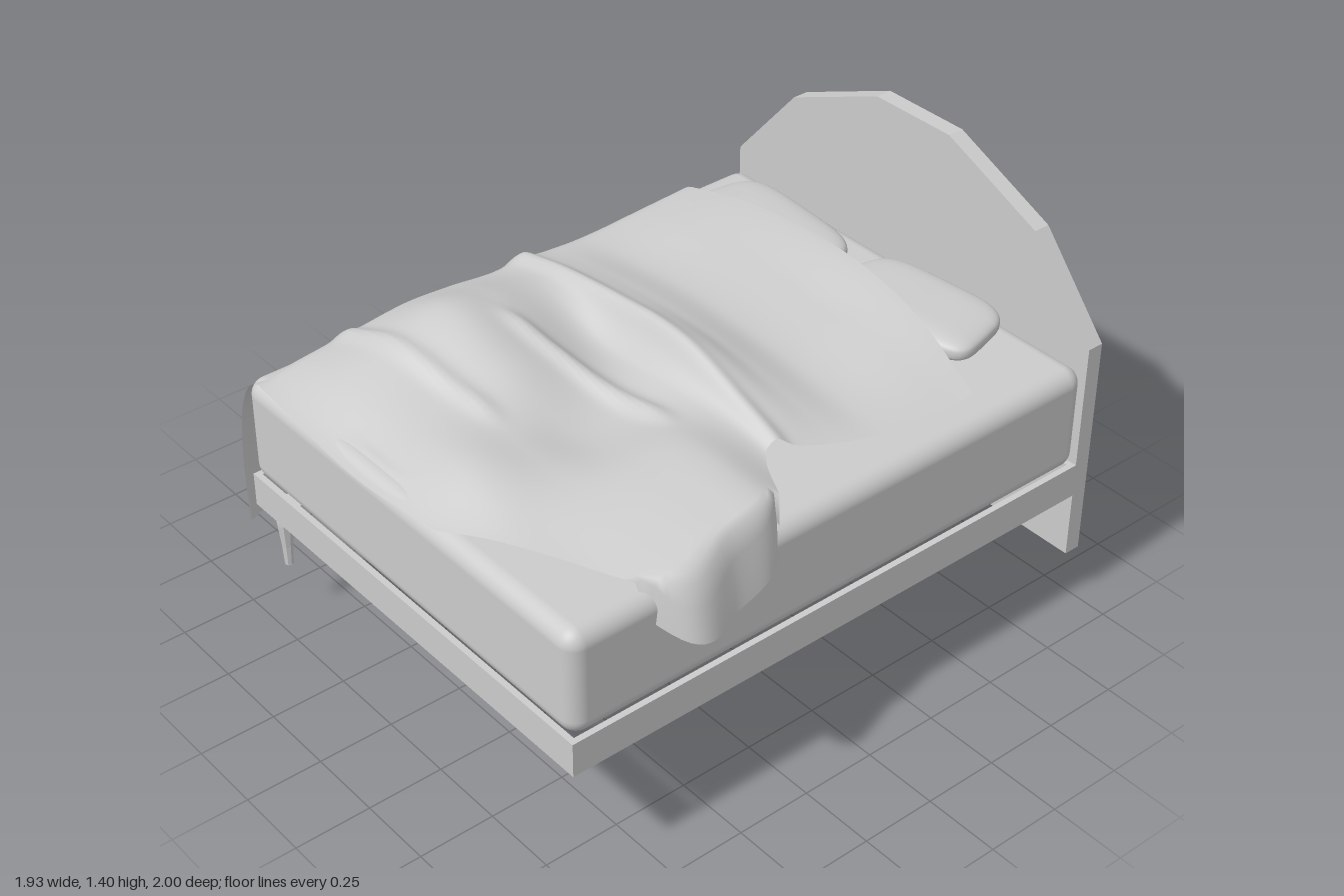
import * as THREE from 'three';
import { RoundedBoxGeometry } from 'three/addons/geometries/RoundedBoxGeometry.js';

const grey = new THREE.MeshStandardMaterial({ color: 0xcccccc, side: THREE.DoubleSide });
const flat = new THREE.MeshStandardMaterial({ color: 0xcccccc, side: THREE.DoubleSide, flatShading: true });

function add(parent, name, geometry, x = 0, y = 0, z = 0, material = grey) {
  const mesh = new THREE.Mesh(geometry, material);
  mesh.name = name;
  mesh.position.set(x, y, z);
  parent.add(mesh);
  return mesh;
}

// Smooth interpolation through a list of numbers, t in 0..1
function spline(list, t) {
  const n = list.length - 1;
  const s = Math.min(Math.max(t, 0), 1) * n;
  const i = Math.min(Math.floor(s), n - 1), f = s - i;
  const b = list[i], c = list[i + 1];
  const a = list[Math.max(i - 1, 0)], d = list[Math.min(i + 2, n)];
  return b + 0.5 * f * (c - a + f * (2 * a - 5 * b + 4 * c - d + f * (3 * (b - c) + d - a)));
}

// Blanket relief: rows run from head to foot, columns from x = -0.7 to 0.8
const reliefZ = [-0.7, -0.5, -0.25, -0.1, 0, 0.12, 0.28, 0.45, 0.62, 0.8, 1];
const relief = [
  [0.93, 0.98, 1.0, 1.0, 0.98, 0.91],
  [0.92, 0.96, 0.97, 0.96, 0.95, 0.9],
  [0.91, 0.93, 0.95, 0.94, 0.92, 0.9],
  [0.91, 0.96, 0.99, 0.99, 0.95, 0.9],
  [0.92, 0.98, 1.01, 1.03, 0.97, 0.9],
  [0.91, 0.98, 0.93, 0.95, 0.95, 0.92],
  [0.92, 1.02, 0.97, 0.92, 0.98, 0.98],
  [0.92, 1.05, 1.0, 0.92, 0.97, 0.97],
  [0.91, 1.0, 0.96, 0.95, 0.95, 0.94],
  [0.9, 0.95, 0.93, 0.96, 0.92, 0.9],
  [0.88, 0.88, 0.86, 0.87, 0.89, 0.89],
];

function reliefHeight(x, z) {
  let i = 0;
  while (i < reliefZ.length - 2 && z > reliefZ[i + 1]) i++;
  const row = (i + (z - reliefZ[i]) / (reliefZ[i + 1] - reliefZ[i])) / (reliefZ.length - 1);
  const column = (x + 0.7) / 1.5;
  let y = spline(relief.map((r) => spline(r, column)), row);
  // Raised folds across the middle of the bed
  const fold = (line, width, from, to) =>
    Math.exp(-(((z - line) / width) ** 2)) *
    THREE.MathUtils.smoothstep(x, from, from + 0.15) * (1 - THREE.MathUtils.smoothstep(x, to - 0.15, to));
  y += 0.025 * fold(0.01 + 0.08 * Math.max(x, 0), 0.03, -0.8, 0.75);
  y += 0.025 * fold(0.27 - 0.15 * x, 0.03, -0.35, 0.4);
  y += 0.02 * fold(0.6 - 0.1 * x, 0.03, -0.75, 0.1);
  return y;
}

// Stations along the blanket: right edge, left shoulder, hanging hem
const edge = {
  rightX: [0.77, 0.76, 0.73, 0.67, 0.62, 0.67, 0.88, 0.92, 0.95, 0.6, 0.27],
  rightY: [0.9, 0.9, 0.9, 0.91, 0.91, 0.92, 0.8, 0.74, 0.75, 0.9, 0.89],
  rightZ: [-0.57, -0.4, -0.2, -0.02, 0.08, 0.14, 0.28, 0.45, 0.65, 0.82, 0.98],
  leftZ: [-0.66, -0.5, -0.3, -0.12, 0.02, 0.12, 0.28, 0.45, 0.62, 0.8, 0.98],
  hemX: [-0.85, -0.9, -0.92, -0.96, -0.87, -0.77, -0.78, -0.77, -0.83, -0.76, -0.76],
  hemY: [0, 0.09, 0.18, 0.25, 0.25, 0.26, 0.28, 0.31, 0.33, 0.32, 0.31],
  hemZ: [-0.45, -0.34, -0.18, -0.03, 0.1, 0.2, 0.38, 0.52, 0.63, 0.8, 0.98],
};

function blanketPoint(u, v) {
  const e = {};
  for (const key in edge) e[key] = spline(edge[key], v);
  const split = 0.68, shoulderX = -0.6;
  if (u <= split) {
    // Part lying on the mattress
    const t = u / split;
    const x = THREE.MathUtils.lerp(e.rightX, shoulderX, t);
    const bow = Math.sin(Math.PI * t) * (0.02 * v ** 6 - 0.09 * (1 - v) ** 6);
    const z = THREE.MathUtils.lerp(e.rightZ, e.leftZ, t) + bow;
    let y = Math.max(reliefHeight(x, z), z > 0.93 ? 0.86 : 0.89);
    if (x > 0.83 && e.rightX > 0.84) {
      const k = (x - 0.83) / (e.rightX - 0.83);
      y = THREE.MathUtils.lerp(y, e.rightY, k ** 3);
    }
    return [x, y, z];
  }
  // Part falling over the side, with folds growing towards the hem
  const t = (u - split) / (1 - split);
  const a = (1 - t) ** 2, b = 2 * t * (1 - t), c = t * t;
  const ripple = 0.016 * c * Math.sin(v * 52);
  return [
    a * shoulderX + b * -0.76 + c * e.hemX + ripple,
    a * Math.max(reliefHeight(shoulderX, e.leftZ), 0.89) + b * 0.87 + c * e.hemY,
    a * e.leftZ + b * (e.leftZ + 0.01) + c * e.hemZ,
  ];
}

function blanketGeometry(across = 80, along = 110) {
  const positions = [], index = [];
  for (let j = 0; j <= along; j++) {
    for (let i = 0; i <= across; i++) {
      positions.push(...blanketPoint(i / across, j / along));
      if (i === across || j === along) continue;
      const p = j * (across + 1) + i, q = p + across + 1;
      index.push(p, p + 1, q, p + 1, q + 1, q);
    }
  }
  const g = new THREE.BufferGeometry();
  g.setAttribute('position', new THREE.Float32BufferAttribute(positions, 3));
  g.setIndex(index);
  g.computeVertexNormals();
  return g;
}

// Soft cushion: a sphere pushed out towards a box, with a taper towards the front
function pillowGeometry(width, height, depth, taper) {
  const g = new THREE.SphereGeometry(1, 40, 24);
  const p = g.attributes.position;
  const swell = (value, power) => Math.sign(value) * Math.abs(value) ** power;
  for (let i = 0; i < p.count; i++) {
    const z = swell(p.getZ(i), 0.45);
    p.setXYZ(i, swell(p.getX(i), 0.45) * (1 + taper * z) * width / 2, swell(p.getY(i), 0.7) * height / 2, z * depth / 2);
  }
  g.computeVertexNormals();
  return g;
}

// Rounded mattress shell, open underneath
function mattressGeometry(width, height, depth) {
  const g = new RoundedBoxGeometry(width, height, depth, 5, 0.055);
  const p = g.attributes.position, n = g.attributes.normal;
  const positions = [], normals = [];
  for (let i = 0; i < p.count; i += 3) {
    const low = [0, 1, 2].every((k) => p.getY(i + k) < -height / 2 + 0.001);
    if (low) continue;
    for (let k = i; k < i + 3; k++) {
      positions.push(p.getX(k), p.getY(k), p.getZ(k));
      normals.push(n.getX(k), n.getY(k), n.getZ(k));
    }
  }
  const shell = new THREE.BufferGeometry();
  shell.setAttribute('position', new THREE.Float32BufferAttribute(positions, 3));
  shell.setAttribute('normal', new THREE.Float32BufferAttribute(normals, 3));
  return shell;
}

export function createModel() {
  const bed = new THREE.Group();
  bed.name = 'bed';

  // Headboard: front panel with a rim, hollow at the back
  const outline = [[-0.68, 0.19], [0.87, 0.19], [0.87, 0.95], [0.62, 1.24], [0.25, 1.4], [-0.06, 1.4], [-0.43, 1.24], [-0.68, 0.95]];
  const headboard = new THREE.Group();
  headboard.name = 'headboard';
  bed.add(headboard);
  const panel = new THREE.Shape(outline.map(([x, y]) => new THREE.Vector2(x, y)));
  add(headboard, 'headboardPanel', new THREE.ShapeGeometry(panel), 0, 0, -0.945);
  outline.forEach(([x, y], i) => {
    const [x2, y2] = outline[(i + 1) % outline.length];
    const rim = add(headboard, 'headboardRim', new THREE.PlaneGeometry(Math.hypot(x2 - x, y2 - y), 0.055), (x + x2) / 2, (y + y2) / 2, -0.9725);
    rim.rotation.set(Math.PI / 2, Math.atan2(y2 - y, x2 - x), 0, 'ZXY');
    rim.rotation.set(Math.PI / 2, 0, Math.atan2(y2 - y, x2 - x), 'ZXY');
  });

  // Bed frame: an open ring of boards
  for (const x of [-0.67, 0.86]) add(bed, 'sideRail', new THREE.BoxGeometry(0.02, 0.115, 1.935), x, 0.4725, 0.0225);
  for (const z of [-0.935, 0.98]) add(bed, 'endRail', new THREE.BoxGeometry(1.51, 0.115, 0.02), 0.095, 0.4725, z);

  // Single turned leg under the front corner
  add(bed, 'legBlock', new THREE.BoxGeometry(0.08, 0.025, 0.08), -0.625, 0.405, 0.93);
  const legProfile = [[0, 0.19], [0.014, 0.19], [0.018, 0.26], [0.027, 0.345], [0.027, 0.36], [0.019, 0.368], [0.032, 0.385], [0.032, 0.395]];
  add(bed, 'leg', new THREE.LatheGeometry(legProfile.map(([r, y]) => new THREE.Vector2(r, y)), 8), -0.625, 0, 0.93, flat);

  // Bedding
  add(bed, 'mattress', mattressGeometry(1.55, 0.355, 1.935), 0.095, 0.7075, 0.0225);
  add(bed, 'rightPillow', pillowGeometry(0.56, 0.09, 0.36, 0.03), -0.27, 0.92, -0.68).rotation.y = -0.07;
  add(bed, 'leftPillow', pillowGeometry(0.54, 0.085, 0.3, 0.1), 0.34, 0.915, -0.76).rotation.y = 0.1;
  add(bed, 'blanket', blanketGeometry());
  return bed;
}
